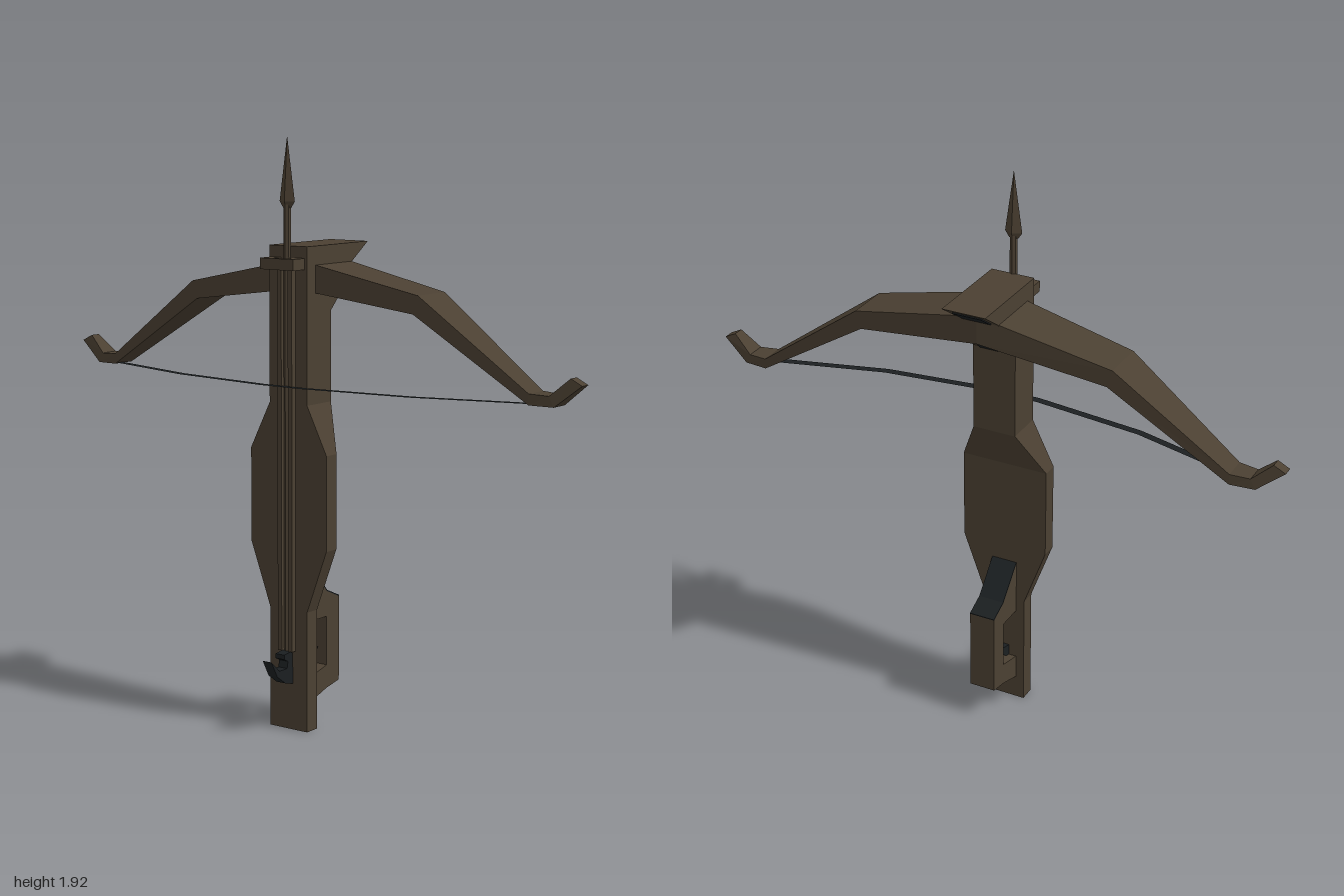
import * as THREE from 'three';

const wood = new THREE.MeshStandardMaterial({ color: 0x4b4032 });
wood.name = 'dark wood';
const iron = new THREE.MeshStandardMaterial({ color: 0x1b1f21 });
iron.name = 'black iron';
const cord = new THREE.MeshStandardMaterial({ color: 0x1c2022, side: THREE.DoubleSide });
cord.name = 'bow cord';

export function createModel() {
  const model = new THREE.Group();

  const add = (name, geometry, material = wood, parent = model) => {
    const mesh = new THREE.Mesh(geometry, material);
    mesh.name = name;
    parent.add(mesh);
  };
  const box = (w, h, d, x, y, z) => new THREE.BoxGeometry(w, h, d).translate(x, y, z);
  const outline = (points) => new THREE.Shape(points.map(([a, b]) => new THREE.Vector2(a, b)));
  // Side profile given as [z, y], centred across x
  const sideProfile = (points, width) =>
    new THREE.ExtrudeGeometry(outline(points), { depth: width, bevelEnabled: false })
      .rotateY(-Math.PI / 2).translate(width / 2, 0, 0);
  // Thin plate lying on the profile edge from a to b
  const edgePlate = (a, b, width) => {
    const length = Math.hypot(b[0] - a[0], b[1] - a[1]);
    const n = [(b[1] - a[1]) / length * 0.004, -(b[0] - a[0]) / length * 0.004];
    return sideProfile([a, b, [b[0] + n[0], b[1] + n[1]], [a[0] + n[0], a[1] + n[1]]], width);
  };
  // Flat-faced solid from four-cornered cross-sections
  const loft = (sections) => {
    const pos = [];
    const quad = (a, b, c, d) => pos.push(...a, ...b, ...c, ...a, ...c, ...d);
    for (let i = 0; i < sections.length - 1; i++) {
      const s = sections[i], t = sections[i + 1];
      for (let k = 0; k < 4; k++) {
        const m = (k + 1) % 4;
        quad(s[k], t[k], t[m], s[m]);
      }
    }
    quad(...sections[0]);
    quad(...[...sections[sections.length - 1]].reverse());
    const g = new THREE.BufferGeometry();
    g.setAttribute('position', new THREE.Float32BufferAttribute(pos, 3));
    g.computeVertexNormals();
    return g;
  };

  // Stock: swells in the middle, thickens towards the bow: [y, half width, back z]
  const front = 0.108;
  add('stock', loft([
    [0, 0.075, 0.054], [0.4, 0.075, 0.054], [0.61, 0.152, 0.054], [0.92, 0.152, 0.054],
    [1.075, 0.075, -0.02], [1.37, 0.075, -0.02],
  ].map(([y, w, z]) => [[w, y, z], [w, y, front], [-w, y, front], [-w, y, z]])));

  // Overhanging head
  add('stockHead', sideProfile([[front, 1.37], [-0.02, 1.37], [-0.1, 1.45],
    [-0.135, 1.52], [-0.222, 1.58], [front, 1.58]], 0.15));
  add('headUnderside', edgePlate([-0.2, 1.565], [-0.135, 1.52], 0.1), iron);
  add('limbSupport', edgePlate([-0.1, 1.45], [-0.02, 1.37], 0.1), iron);

  // Bow limbs: [top x, top y, bottom x, bottom y, half depth]
  const halfLimb = [
    [0, 1.535, 0, 1.44, 0.102],
    [0.45, 1.442, 0.432, 1.383, 0.076],
    [0.83, 1.166, 0.83, 1.131, 0.042],
    [0.895, 1.163, 0.912, 1.13, 0.033],
    [0.96, 1.22, 1.0, 1.2, 0.018],
  ];
  const limb = [...halfLimb.slice(1).map(([a, b, c, d, e]) => [-a, b, -c, d, e]).reverse(), ...halfLimb];
  const zc = -0.035;
  add('bowLimbs', loft(limb.map(([tx, ty, bx, by, d]) => [
    [tx, ty, zc + d], [tx, ty, zc - d], [bx, by, zc - d], [bx, by, zc + d],
  ])));

  // Flat bowstring
  const halfString = [[0.83, -0.015], [0.46, 0.09], [0.08, 0.137]];
  const path = [...halfString, ...halfString.map(([x, z]) => [-x, z]).reverse()];
  const ribbon = [...path.map(([x, z]) => [x, z + 0.014]), ...path.map(([x, z]) => [x, z - 0.014]).reverse()];
  add('bowString', new THREE.ShapeGeometry(outline(ribbon)).rotateX(Math.PI / 2).translate(0, 1.134, 0), cord);

  // Bolt rails, and the bracket looping over them
  const bracket = new THREE.Group();
  bracket.name = 'frontBracket';
  model.add(bracket);
  add('bracketBar', box(0.13, 0.036, 0.022, 0, 1.525, 0.157), wood, bracket);
  for (const side of [-1, 1]) {
    add(side > 0 ? 'leftRail' : 'rightRail', box(0.016, 1.25, 0.025, side * 0.021, 0.89, 0.115));
    add('bracketSide', box(0.037, 0.036, 0.04, side * 0.0465, 1.525, 0.127), wood, bracket);
  }

  // Bolt with a flat pointed head
  const bolt = new THREE.Group();
  bolt.name = 'bolt';
  model.add(bolt);
  const faceted = (top, bottom, height, y, sides, flatten) => {
    const g = new THREE.CylinderGeometry(top, bottom, height, sides).scale(1, 1, flatten)
      .translate(0, y, 0.112).toNonIndexed();
    g.computeVertexNormals();
    return g;
  };
  add('boltShaft', faceted(0.012, 0.012, 1.45, 0.99, 6, 1), wood, bolt);
  add('boltPoint', faceted(0, 0.03, 0.205, 1.8225, 4, 0.5), wood, bolt);
  add('boltHeadBase', faceted(0.03, 0.016, 0.02, 1.71, 4, 0.5), wood, bolt);

  // Trigger crescent and string catch
  add('trigger', sideProfile([[0.222, 0.25], [0.192, 0.195], [0.15, 0.165], [0.1, 0.153], [0.05, 0.16],
    [0.01, 0.19], [-0.027, 0.25], [0.02, 0.215], [0.06, 0.205], [0.11, 0.21], [0.11, 0.265],
    [0.155, 0.26], [0.155, 0.245], [0.135, 0.235], [0.14, 0.212], [0.18, 0.212]], 0.036), iron);

  // Guard behind the stock, with dark plates on its upper slopes
  add('triggerGuard', sideProfile([[0.06, 0.55], [-0.04, 0.44], [-0.108, 0.41], [-0.108, 0.125],
    [-0.04, 0.112], [0.06, 0.08], [0.06, 0.165], [-0.04, 0.19], [-0.04, 0.355], [0.06, 0.355]], 0.09));
  const slope = [[-0.108, 0.41], [-0.04, 0.44], [0.056, 0.5456]];
  add('guardLowerPlate', edgePlate(slope[1], slope[0], 0.09), iron);
  add('guardUpperPlate', edgePlate(slope[2], slope[1], 0.09), iron);

  return model;
}
